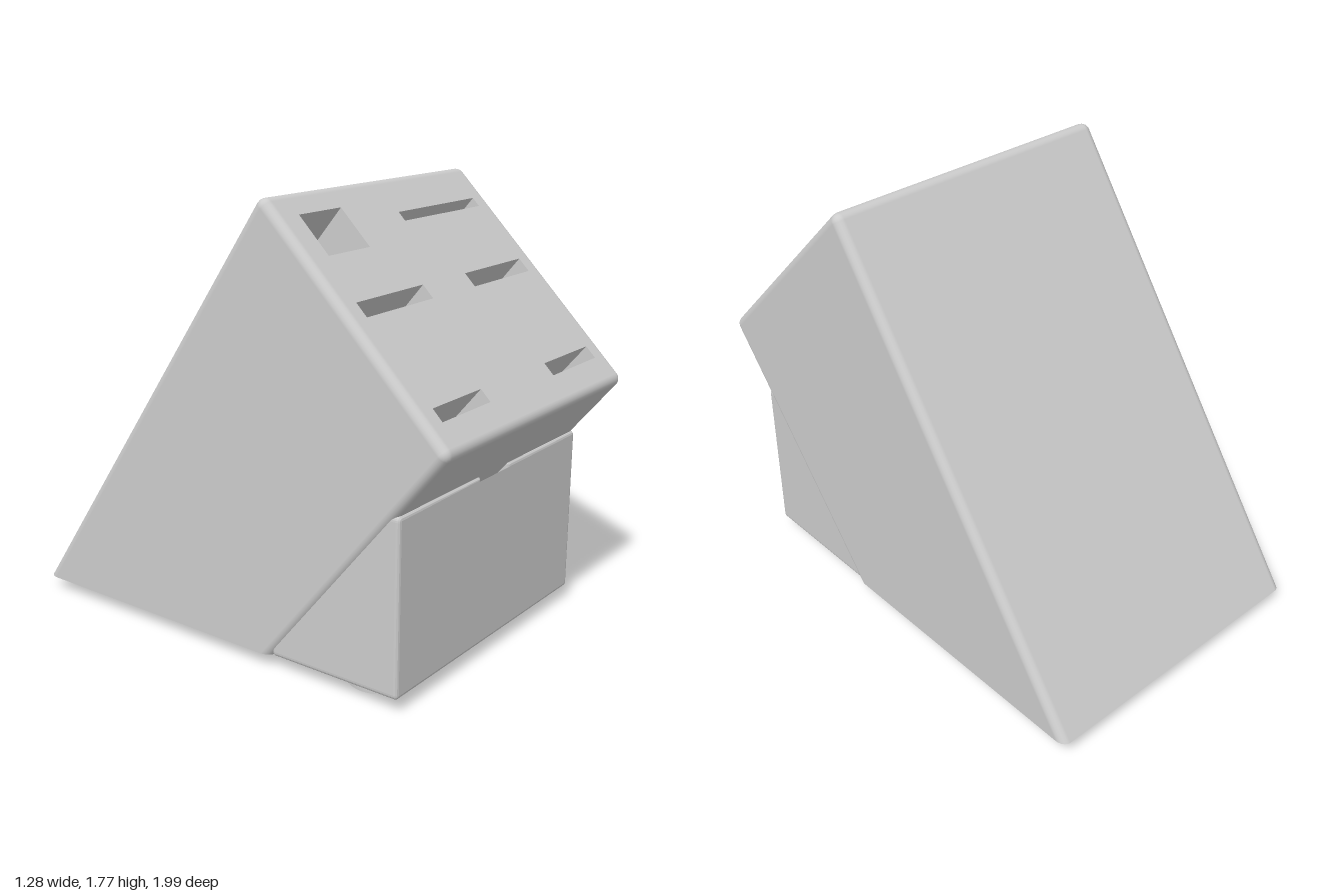
import * as THREE from 'three';

const HALF = 0.64;      // half width of the body
const R = 0.035;        // edge rounding of the body
const BASE = 0.055;     // underside height
const SUM = 2.0;        // slot face is the plane y + z = SUM
const grey = new THREE.MeshStandardMaterial({ color: 0xcccccc, side: THREE.DoubleSide });

function add(parent, name, geometry) {
  const mesh = new THREE.Mesh(geometry, grey);
  mesh.name = name;
  parent.add(mesh);
  return mesh;
}

// Side profile as {z, y, nz, ny}: front wall, rounded nose, slot face, rounded ridge, back wall
function bodyProfile() {
  const corners = [[0.24, BASE], [1.007, 0.993], [0.215, 1.785], [-1.0, BASE]];
  const normals = [];
  for (let i = 0; i < 3; i++) {
    const dz = corners[i + 1][0] - corners[i][0], dy = corners[i + 1][1] - corners[i][1];
    const l = Math.hypot(dz, dy);
    normals.push([dy / l, -dz / l]);
  }
  const pts = [{ z: corners[0][0], y: BASE, nz: normals[0][0], ny: normals[0][1], end: true }];
  for (let i = 1; i < 3; i++) {
    const [a, b] = [normals[i - 1], normals[i]];
    const k = R / (1 + a[0] * b[0] + a[1] * b[1]);
    const cz = corners[i][0] - k * (a[0] + b[0]), cy = corners[i][1] - k * (a[1] + b[1]);
    const t0 = Math.atan2(a[1], a[0]), t1 = Math.atan2(b[1], b[0]);
    for (let s = 0; s <= 6; s++) {
      const t = t0 + (t1 - t0) * s / 6, nz = Math.cos(t), ny = Math.sin(t);
      pts.push({ z: cz + R * nz, y: cy + R * ny, nz, ny });
    }
  }
  pts.push({ z: corners[3][0], y: BASE, nz: normals[2][0], ny: normals[2][1], end: true });
  return pts;
}

// Moves a profile point inwards, keeping the lower ends on the underside
const inset = (p, d) => p.end ? [p.z - d / p.nz, p.y] : [p.z - d * p.nz, p.y - d * p.ny];

// Shell wrapped over the profile with rounded side edges, leaving the slot face free
function bodyShell(profile) {
  const sections = [];
  for (let s = 0; s <= 5; s++) sections.push([-1, Math.PI / 2 * (1 - s / 5)]);
  for (let s = 0; s <= 5; s++) sections.push([1, Math.PI / 2 * s / 5]);
  const pos = [], nor = [], idx = [], n = profile.length;
  sections.forEach(([side, t], row) => profile.forEach((p, col) => {
    const [z, y] = inset(p, R * (1 - Math.cos(t)));
    pos.push(side * (HALF - R + R * Math.sin(t)), y, z);
    nor.push(side * Math.sin(t), p.ny * Math.cos(t), p.nz * Math.cos(t));
    if (row === 0 || col === 0 || (row === 6 && col === 8)) return;
    const d = row * n + col, c = d - 1, b = d - n, a = b - 1;
    idx.push(a, c, b, b, c, d);
  }));
  const g = new THREE.BufferGeometry();
  g.setAttribute('position', new THREE.Float32BufferAttribute(pos, 3));
  g.setAttribute('normal', new THREE.Float32BufferAttribute(nor, 3));
  g.setIndex(idx);
  return g;
}

function sideWall(profile, side) {
  const shape = new THREE.Shape(profile.map(p => {
    const [z, y] = inset(p, R);
    return new THREE.Vector2(-side * z, y);
  }));
  return new THREE.ShapeGeometry(shape).rotateY(side * Math.PI / 2).translate(side * HALF, 0, 0);
}

// Slots as x0, x1, y0, y1
const SLOTS = [
  [-0.52, -0.28, 1.575, 1.705], [0.02, 0.55, 1.63, 1.66],
  [-0.55, -0.145, 1.39, 1.435], [0.14, 0.55, 1.39, 1.435],
  [-0.55, -0.245, 1.08, 1.12], [0.21, 0.55, 1.08, 1.12],
];

function rectPoints(x0, x1, y0, y1) {
  return [[x0, y0], [x1, y0], [x1, y1], [x0, y1]].map(p => new THREE.Vector2(...p));
}

// Upright sheet with holes, sheared onto the slanted plane
function slotFace(profile) {
  const w = HALF - R;
  const shape = new THREE.Shape(rectPoints(-w, w, profile[7].y, profile[8].y));
  SLOTS.forEach(s => shape.holes.push(new THREE.Path(rectPoints(...s))));
  const g = new THREE.ShapeGeometry(shape), p = g.attributes.position;
  for (let i = 0; i < p.count; i++) p.setZ(i, SUM - p.getY(i));
  g.computeVertexNormals();
  return g;
}

// Open-topped pocket running down and back from the slot face
function slotPocket([x0, x1, y0, y1], depth = 0.6) {
  const g = new THREE.BoxGeometry(x1 - x0, y1 - y0, 1);
  g.translate((x0 + x1) / 2, (y0 + y1) / 2, 0);
  const p = g.attributes.position;
  for (let i = 0; i < p.count; i++) {
    const d = p.getZ(i) < 0 ? depth : 0, y = p.getY(i);
    p.setXYZ(i, p.getX(i), y - 0.77 * d, SUM - y - 0.64 * d);
  }
  const index = Array.from(g.index.array);
  index.splice(24, 6); // remove the mouth
  g.setIndex(index);
  g.clearGroups();
  g.computeVertexNormals();
  return g;
}

// Front box with a rounded notch in its top edge
function frontBox() {
  const w = 0.63, top = 0.742, r = 0.02, n = 0.1, low = 0.6, f = 0.025, b = 0.015;
  const s = new THREE.Shape();
  s.moveTo(-w + r, BASE);
  s.lineTo(w - r, BASE);
  s.quadraticCurveTo(w, BASE, w, BASE + r);
  s.lineTo(w, top - r);
  s.quadraticCurveTo(w, top, w - r, top);
  s.lineTo(n + 0.01, top);
  s.quadraticCurveTo(n, top, n, top - 0.01);
  s.lineTo(n, low + f);
  s.quadraticCurveTo(n, low, n - f, low);
  s.lineTo(-n + f, low);
  s.quadraticCurveTo(-n, low, -n, low + f);
  s.lineTo(-n, top - 0.01);
  s.quadraticCurveTo(-n, top, -n - 0.01, top);
  s.lineTo(-w + r, top);
  s.quadraticCurveTo(-w, top, -w, top - r);
  s.lineTo(-w, BASE + r);
  s.quadraticCurveTo(-w, BASE, -w + r, BASE);
  return new THREE.ExtrudeGeometry(s, {
    depth: 0.57 - 2 * b, bevelThickness: b, bevelSize: b, bevelOffset: -b,
    bevelSegments: 3, curveSegments: 5,
  }).translate(0, 0, 0.24 + b);
}

export function createModel() {
  const model = new THREE.Group();
  model.name = 'knifeBlock';

  // Slanted body, open underneath
  const body = new THREE.Group();
  body.name = 'body';
  model.add(body);
  const profile = bodyProfile();
  add(body, 'bodyShell', bodyShell(profile));
  add(body, 'leftWall', sideWall(profile, 1));
  add(body, 'rightWall', sideWall(profile, -1));
  add(body, 'slotFace', slotFace(profile));
  SLOTS.forEach(s => add(body, 'slotPocket', slotPocket(s)));

  // Box under the overhang
  add(model, 'frontBox', frontBox());

  // Feet
  for (const x of [-0.437, 0.437]) for (const z of [0.605, -0.835]) {
    add(model, 'foot', new THREE.CylinderGeometry(0.123, 0.123, 0.06, 40)).position.set(x, 0.03, z);
  }
  return model;
}
